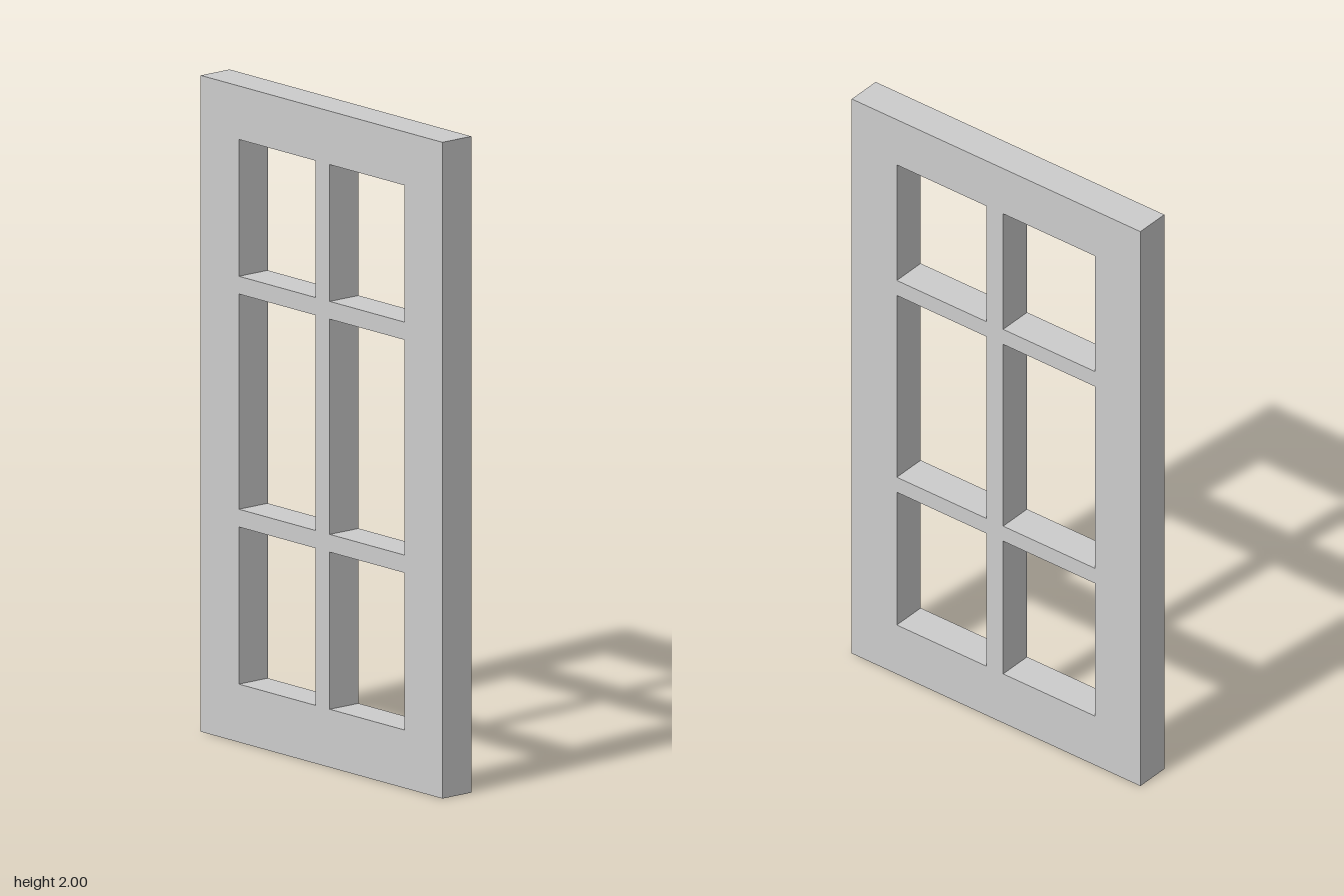
import * as THREE from 'three';

const DEPTH = 0.113;
const HALF_WIDTH = 0.548;
const HEIGHT = 2;

// Pane openings: [start, end] along z and along y
const COLUMNS = [[-0.375, -0.027], [0.037, 0.377]];
const ROWS = [[0.177, 0.656], [0.71, 1.366], [1.42, 1.837]];

// Trace a rectangle into a Shape or Path
function rectangle(path, x0, x1, y0, y1) {
  path.moveTo(x0, y0);
  path.lineTo(x1, y0);
  path.lineTo(x1, y1);
  path.lineTo(x0, y1);
  path.closePath();
  return path;
}

export function createModel() {
  const group = new THREE.Group();
  group.name = 'window';

  // Frame and glazing bars cut from one slab
  const outline = rectangle(new THREE.Shape(), -HALF_WIDTH, HALF_WIDTH, 0, HEIGHT);
  for (const [z0, z1] of COLUMNS) {
    for (const [y0, y1] of ROWS) {
      outline.holes.push(rectangle(new THREE.Path(), z0, z1, y0, y1));
    }
  }

  // Extrude through the thickness, then turn the width onto the z axis
  const geometry = new THREE.ExtrudeGeometry(outline, { depth: DEPTH, bevelEnabled: false });
  geometry.translate(0, 0, -DEPTH / 2);
  geometry.rotateY(-Math.PI / 2);

  const material = new THREE.MeshStandardMaterial({ color: 0xcccccc, flatShading: true });
  const frame = new THREE.Mesh(geometry, material);
  frame.name = 'windowFrame';
  group.add(frame);
  return group;
}
